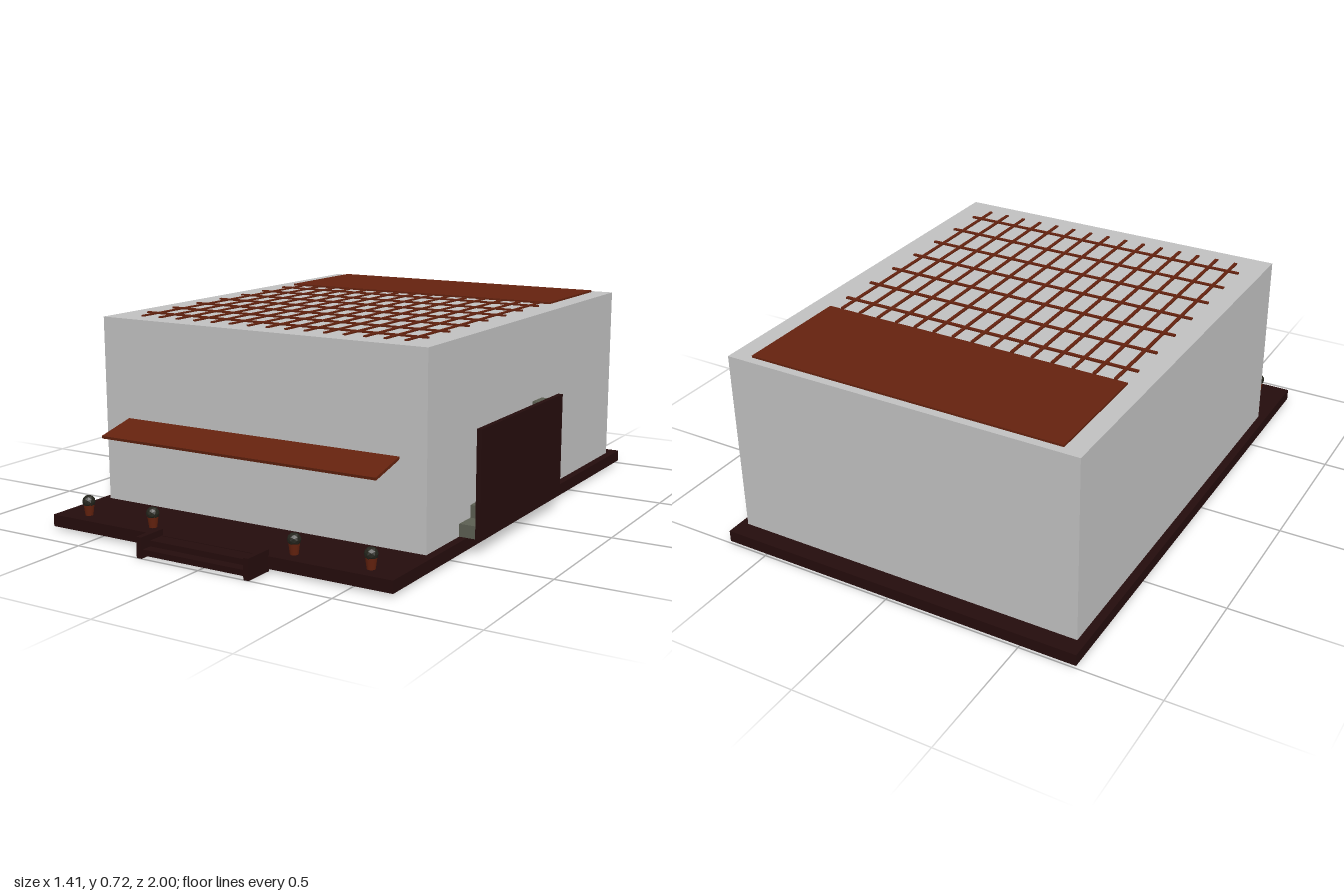
import * as THREE from 'three';

const mat = (name, color, flat = false) => {
  const m = new THREE.MeshStandardMaterial({ color, flatShading: flat });
  m.name = name;
  return m;
};

export function createModel() {
  const root = new THREE.Group();
  root.name = 'house';
  const wall = mat('wall grey', 0xc0c0c0);
  const dark = mat('dark wood', 0x240c0c);
  const rust = mat('rust', 0x64220e);
  const stone = mat('stair grey', 0x5b5e51);
  const leaf = mat('dark leaf', 0x24241c, true);

  const add = (name, geo, material, parent = root) => {
    const m = new THREE.Mesh(geo, material);
    m.name = name;
    parent.add(m);
    return m;
  };
  // Box given by its lower and upper limits on each axis
  const box = (name, material, x0, x1, y0, y1, z0, z1, parent) => {
    const m = add(name, new THREE.BoxGeometry(x1 - x0, y1 - y0, z1 - z0), material, parent);
    m.position.set((x0 + x1) / 2, (y0 + y1) / 2, (z0 + z1) / 2);
    return m;
  };

  // Base slab and main block
  box('base', dark, -0.705, 0.651, 0.01, 0.052, -1, 0.897);
  box('body', wall, -0.675, 0.622, 0.05, 0.716, -0.935, 0.634);

  // Entrance step with side rails
  const entrance = new THREE.Group();
  entrance.name = 'entranceStep';
  root.add(entrance);
  box('upperTread', dark, -0.24, 0.186, 0.012, 0.05, 0.89, 0.955, entrance);
  box('lowerTread', dark, -0.24, 0.186, 0.01, 0.03, 0.955, 0.993, entrance);
  for (const x of [-0.239, 0.186]) {
    box('stepRail', dark, x - 0.01, x + 0.01, 0, 0.072, 0.888, 1, entrance);
  }

  // Sloping awning over the front
  const awning = add('awning', new THREE.BoxGeometry(1.097, 0.01, 0.154), rust);
  awning.position.set(-0.026, 0.338, 0.705);
  awning.rotation.x = 0.235;

  // Roof panel and lattice
  box('roofPanel', rust, -0.605, 0.547, 0.714, 0.723, -0.905, -0.476);
  const lattice = new THREE.Group();
  lattice.name = 'roofLattice';
  root.add(lattice);
  for (let i = 0; i < 15; i++) {
    const x = -0.557 + i * 0.0758;
    box('longBar', rust, x - 0.006, x + 0.006, 0.714, 0.721, -0.465, 0.562, lattice);
  }
  for (let i = 0; i < 7; i++) {
    const z = -0.385 + i * 0.1443;
    box('crossBar', rust, -0.6, 0.542, 0.714, 0.722, z - 0.006, z + 0.006, lattice);
  }

  // Side stair climbing towards the back, with a solid outer parapet
  const stair = new THREE.Group();
  stair.name = 'sideStair';
  root.add(stair);
  const steps = 8, run = 0.655 / steps, rise = 0.353 / steps;
  for (let i = 0; i < steps; i++) {
    const z = 0.405 - i * run;
    box('step', stone, 0.621, 0.685, 0.052, 0.052 + (i + 1) * rise, z - run, z, stair);
  }
  box('parapet', dark, 0.684, 0.702, 0.052, 0.425, -0.255, 0.412, stair);

  // Potted plants along the front
  for (const x of [-0.595, -0.312, 0.258, 0.54]) {
    const plant = new THREE.Group();
    plant.name = 'plant';
    plant.position.set(x, 0.052, 0.837);
    root.add(plant);
    add('pot', new THREE.CylinderGeometry(0.02, 0.014, 0.045, 12), rust, plant).position.y = 0.0225;
    add('bush', new THREE.IcosahedronGeometry(0.023, 1), leaf, plant).position.y = 0.049;
  }
  return root;
}
